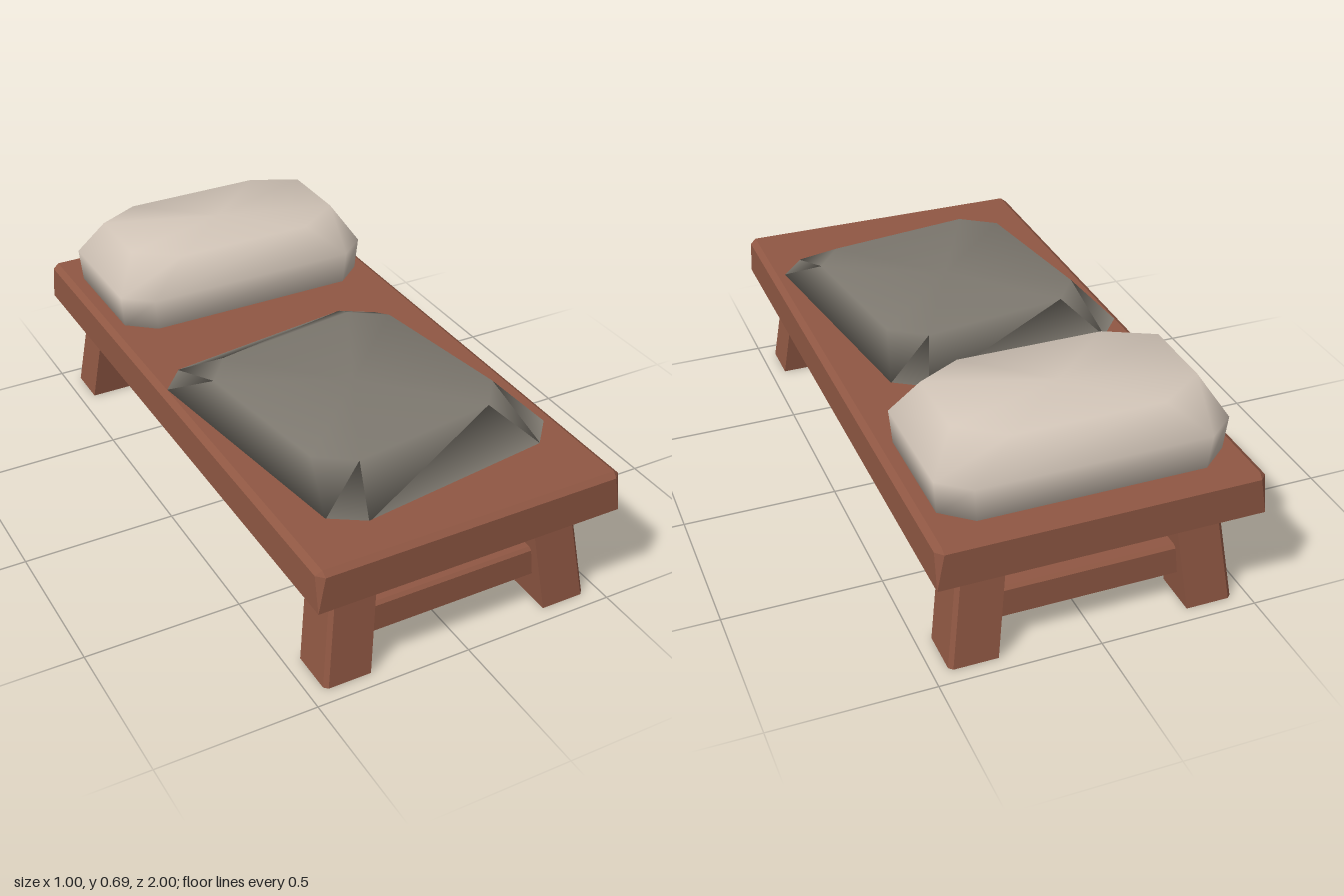
import * as THREE from 'three';

// Eight-cornered ring, counter-clockwise from above; yEnd lifts the points at the x ends
function octagon(y, hx, hz, cx, cz, yEnd = y) {
  const ix = hx - cx, iz = hz - cz;
  return [
    [hx, yEnd, iz], [hx, yEnd, -iz], [ix, y, -hz], [-ix, y, -hz],
    [-hx, yEnd, -iz], [-hx, yEnd, iz], [-ix, y, hz], [ix, y, hz],
  ];
}

// Joins stacked rings with side faces and closes both ends with a fan
function loft(rings, smooth) {
  const n = rings[0].length, last = (rings.length - 1) * n;
  const points = rings.flat(), index = [];
  const middle = (ring) => [0, 1, 2].map((k) => ring.reduce((s, p) => s + p[k], 0) / n);
  const low = points.length, high = low + 1;
  points.push(middle(rings[0]), middle(rings[rings.length - 1]));
  for (let i = 0; i < n; i++) {
    const j = (i + 1) % n;
    for (let r = 0; r < last; r += n) {
      index.push(r + i, r + j, r + n + j, r + i, r + n + j, r + n + i);
    }
    index.push(low, j, i, high, last + i, last + j);
  }
  let geometry = new THREE.BufferGeometry();
  geometry.setAttribute('position', new THREE.Float32BufferAttribute(points.flat(), 3));
  geometry.setIndex(index);
  if (!smooth) geometry = geometry.toNonIndexed();
  geometry.computeVertexNormals();
  return geometry;
}

export function createModel() {
  const group = new THREE.Group();
  const material = (name, color) => {
    const m = new THREE.MeshStandardMaterial({ color });
    m.name = name;
    return m;
  };
  const wood = material('brown wood', 0x8f5743);
  const linen = material('cream linen', 0xd2c5b8);
  const wool = material('grey wool', 0x7d786f);

  const add = (name, geometry, mat) => {
    const mesh = new THREE.Mesh(geometry, mat);
    mesh.name = name;
    group.add(mesh);
    return mesh;
  };

  // Bed board with worn top edges and corners
  add('bedBoard', loft([
    octagon(0.335, 0.5, 1, 0, 0),
    octagon(0.452, 0.5, 1, 0.022, 0.022),
    octagon(0.467, 0.48, 0.983, 0, 0),
  ]), wood);

  // Splayed legs with a bevelled outer corner
  const legRing = (y, x0, x1, z0, z1, sx, sz) => {
    const c = 0.012;
    const ring = [[x1, z1 - c], [x1, z0], [x0, z0], [x0, z1], [x1 - c, z1]]
      .map(([x, z]) => [x * sx, y, z * sz]);
    return sx * sz < 0 ? ring.reverse() : ring;
  };
  for (const sz of [1, -1]) {
    const end = sz > 0 ? 'front' : 'back';
    for (const sx of [1, -1]) {
      add(end + (sx > 0 ? 'Left' : 'Right') + 'Leg', loft([
        legRing(0, 0.3, 0.45, 0.8, 0.95, sx, sz),
        legRing(0.34, 0.26, 0.405, 0.76, 0.905, sx, sz),
      ]), wood);
    }

    // Stretcher between the two legs, bevelled along its top
    const section = new THREE.Shape([
      [-0.04, 0.1], [0.04, 0.1], [0.04, 0.19], [0.03, 0.2], [-0.03, 0.2], [-0.04, 0.19],
    ].map(([x, y]) => new THREE.Vector2(x, y)));
    const bar = new THREE.ExtrudeGeometry(section, { depth: 0.6, bevelEnabled: false });
    bar.translate(0, 0, -0.3).rotateY(Math.PI / 2);
    add(end + 'Stretcher', bar, wood).position.z = 0.855 * sz;
  }

  // Plump pillow at the back
  add('pillow', loft([
    octagon(0.46, 0.44, 0.26, 0.09, 0.075),
    octagon(0.575, 0.45, 0.267, 0.09, 0.075),
    octagon(0.687, 0.375, 0.212, 0.145, 0.09, 0.695),
  ], true), linen).position.z = -0.6475;

  // Folded blanket lying askew
  const blanket = add('blanket', loft([
    octagon(0.465, 0.415, 0.495, 0.092, 0.08),
    octagon(0.555, 0.343, 0.345, 0.1, 0.095),
  ], true), wool);
  blanket.position.set(-0.012, 0, 0.322);
  blanket.rotation.y = 0.14;

  return group;
}
